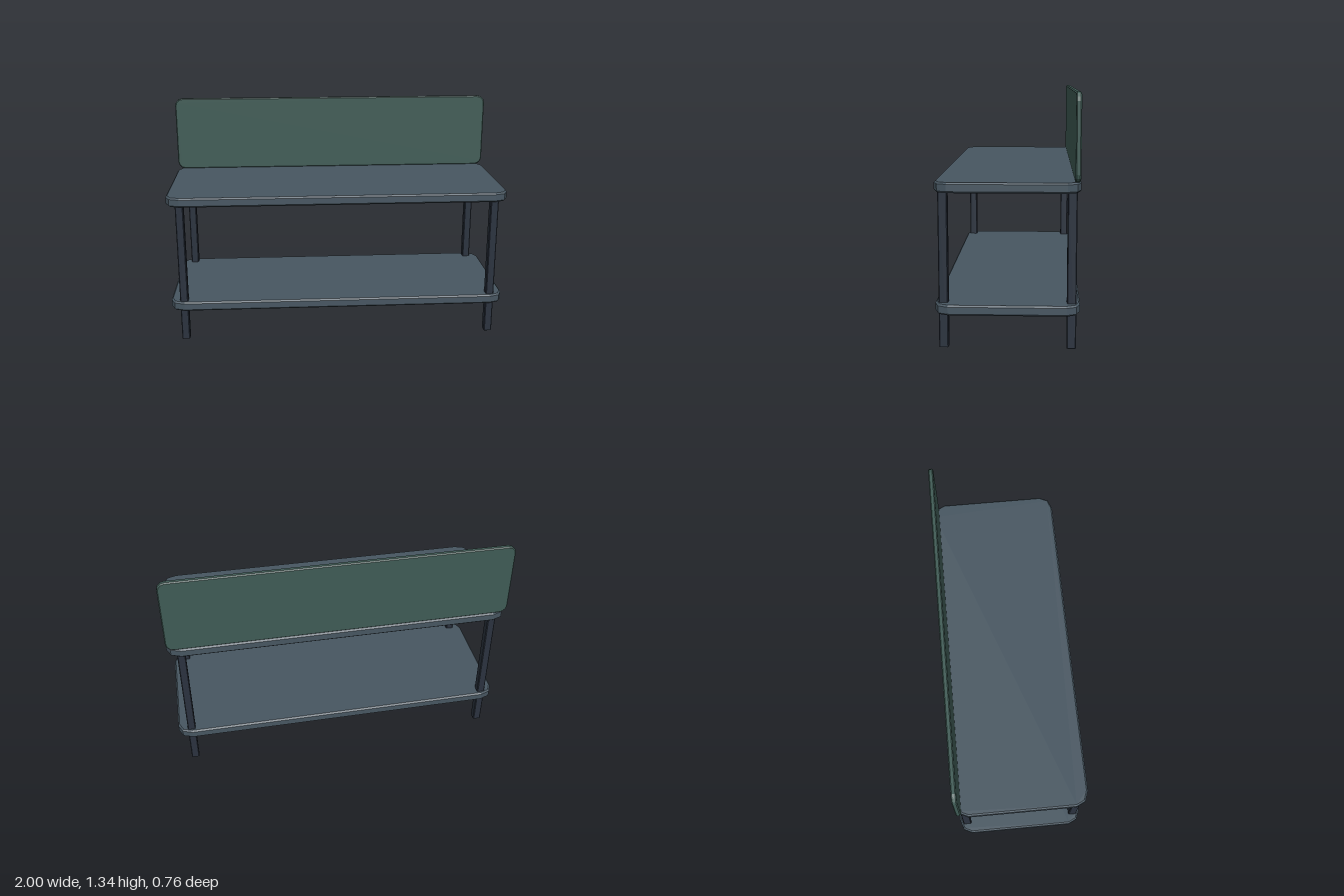
import * as THREE from 'three';

const material = (name, color) => {
  const m = new THREE.MeshStandardMaterial({ color });
  m.name = name;
  return m;
};

// Slab in the XY plane with rounded corners and chamfered rims, centred on the origin.
function roundedSlab(width, height, depth, rx, ry, segments, bevel) {
  const w = width / 2 - bevel, h = height / 2 - bevel;
  const points = [];
  for (let corner = 0; corner < 4; corner++) {
    const sx = corner === 0 || corner === 3 ? 1 : -1;
    const sy = corner < 2 ? 1 : -1;
    for (let i = 0; i <= segments; i++) {
      const a = (corner + i / segments) * Math.PI / 2;
      points.push(new THREE.Vector2(sx * (w - rx) + rx * Math.cos(a), sy * (h - ry) + ry * Math.sin(a)));
    }
  }
  const geometry = new THREE.ExtrudeGeometry(new THREE.Shape(points), {
    depth: depth - 2 * bevel,
    bevelEnabled: true, bevelThickness: bevel, bevelSize: bevel, bevelSegments: 1,
  });
  return geometry.translate(0, 0, bevel - depth / 2);
}

export function createModel() {
  const model = new THREE.Group();
  model.name = 'workbench';
  const boardMaterial = material('slate board', 0x475661);
  const legMaterial = material('dark leg', 0x2a323e);
  const panelMaterial = material('green panel', 0x3f5b55);

  const add = (name, geometry, mat, x, y, z) => {
    const mesh = new THREE.Mesh(geometry, mat);
    mesh.name = name;
    mesh.position.set(x, y, z);
    model.add(mesh);
  };

  // Worktop and lower shelf share one board
  const board = roundedSlab(2, 0.76, 0.055, 0.075, 0.065, 2, 0.009).rotateX(-Math.PI / 2);
  add('worktop', board, boardMaterial, 0, 0.857, 0);
  add('lowerShelf', board, boardMaterial, 0, 0.217, 0);

  // Four legs running through the shelf up to the worktop
  const leg = roundedSlab(0.047, 0.05, 0.84, 0.003, 0.003, 1, 0.003).rotateX(-Math.PI / 2);
  for (const [sx, side] of [[1, 'Left'], [-1, 'Right']]) {
    for (const [sz, end] of [[1, 'front'], [-1, 'back']]) {
      add(`${end}${side}Leg`, leg, legMaterial, sx * 0.92, 0.42, sz * 0.335);
    }
  }

  // Upright back panel standing on the rear edge
  add('backPanel', roundedSlab(2, 0.457, 0.029, 0.04, 0.04, 3, 0.006), panelMaterial, 0, 1.111, -0.36);

  return model;
}
